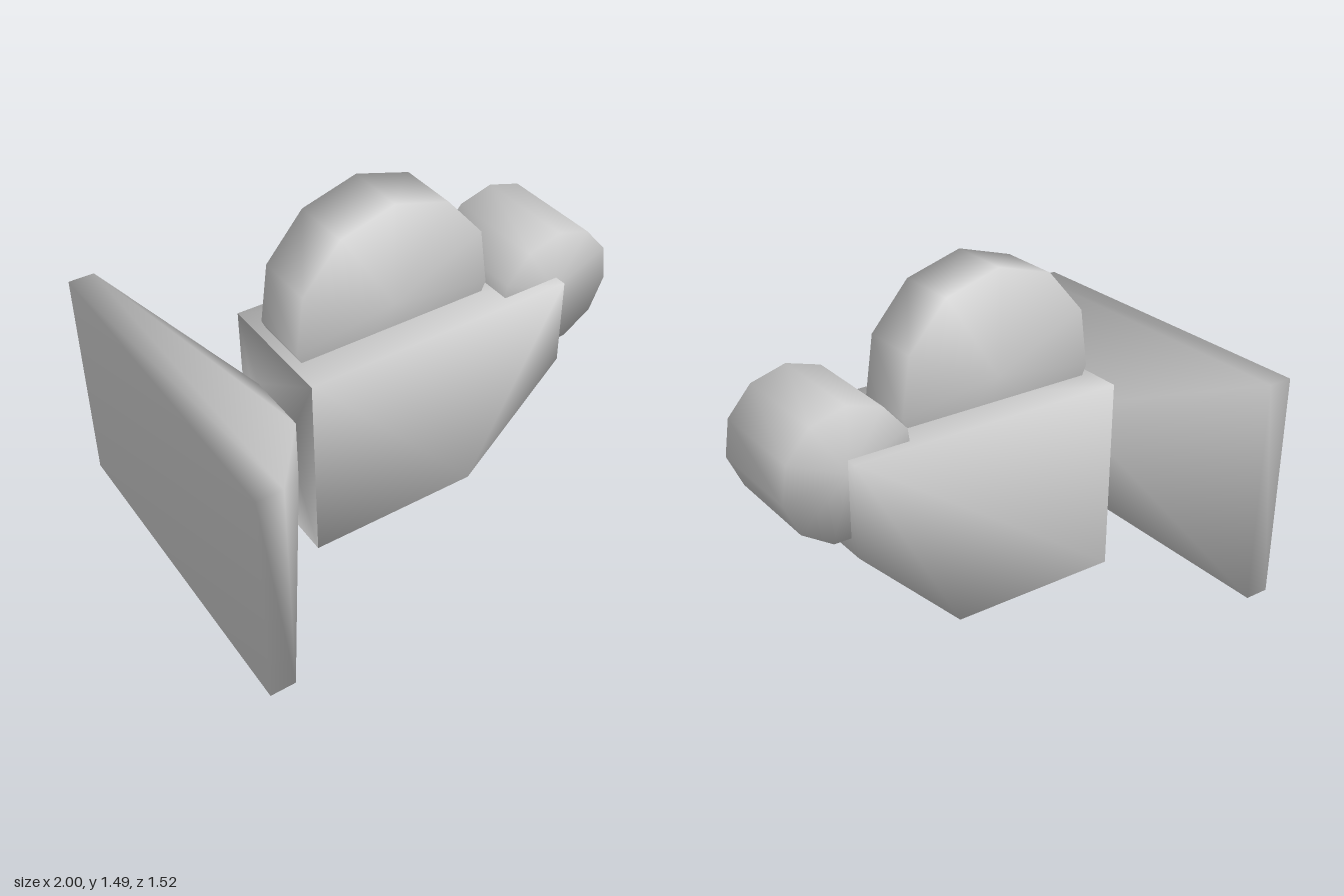
import * as THREE from 'three';
import { mergeVertices } from 'three/addons/utils/BufferGeometryUtils.js';

// Weld shared corners so the shading runs smoothly over every edge
function softened(geometry) {
  geometry.deleteAttribute('normal');
  geometry.deleteAttribute('uv');
  const welded = mergeVertices(geometry, 1e-4);
  welded.computeVertexNormals();
  return welded;
}

// Flared plate, tapering neck and chamfered housing as one skin of rings along x
function bodyGeometry() {
  // each ring: x at bottom, x at top, bottom y, top y, half depth
  const rings = [
    [-1, -1, 0, 1, 0.76],
    [-0.89, -0.89, 0, 1, 0.76],
    [-0.494, -0.494, 0.353, 0.657, 0.148],
    [-0.494, -0.494, 0.08, 0.927, 0.283],
    [0.27, 0.724, 0.08, 0.927, 0.283],
  ];
  const points = [];
  for (const [xb, xt, y0, y1, z] of rings) {
    points.push(xb, y0, z, xb, y0, -z, xt, y1, -z, xt, y1, z);
  }
  const faces = [];
  const quad = (a, b, c, d) => faces.push(a, b, c, a, c, d);

  quad(3, 2, 1, 0); // flat back of the plate
  for (let r = 0; r < rings.length - 1; r++) {
    for (let j = 0; j < 4; j++) {
      const k = (j + 1) % 4;
      quad(r * 4 + j, r * 4 + k, r * 4 + 4 + k, r * 4 + 4 + j);
    }
  }

  // chamfered end of the housing
  const last = (rings.length - 1) * 4;
  const p = last + 4, q = last + 5;
  points.push(0.724, 0.535, 0.283, 0.724, 0.535, -0.283);
  faces.push(last, p, last + 3, last + 1, last + 2, q);
  quad(last, last + 1, q, p);
  quad(p, q, last + 2, last + 3);

  const geometry = new THREE.BufferGeometry();
  geometry.setAttribute('position', new THREE.Float32BufferAttribute(points, 3));
  geometry.setIndex(faces);
  geometry.computeVertexNormals();
  return geometry;
}

// Eleven-sided drum lying along z with one corner straight up
function drum(name, material, radius, depth, x, y) {
  const geometry = new THREE.CylinderGeometry(radius, radius, depth, 11);
  geometry.rotateX(-Math.PI / 2);
  const mesh = new THREE.Mesh(softened(geometry), material);
  mesh.name = name;
  mesh.position.set(x, y, 0);
  return mesh;
}

export function createModel() {
  const model = new THREE.Group();
  model.name = 'wallMountedDevice';

  const grey = new THREE.MeshStandardMaterial({ color: 0xcccccc });
  grey.name = 'light grey';

  const body = new THREE.Mesh(bodyGeometry(), grey);
  body.name = 'plateNeckAndHousing';
  model.add(body);

  model.add(drum('topWheel', grey, 0.452, 0.268, -0.02, 1.033));
  model.add(drum('endRoller', grey, 0.28, 0.46, 0.72, 0.866));
  return model;
}
